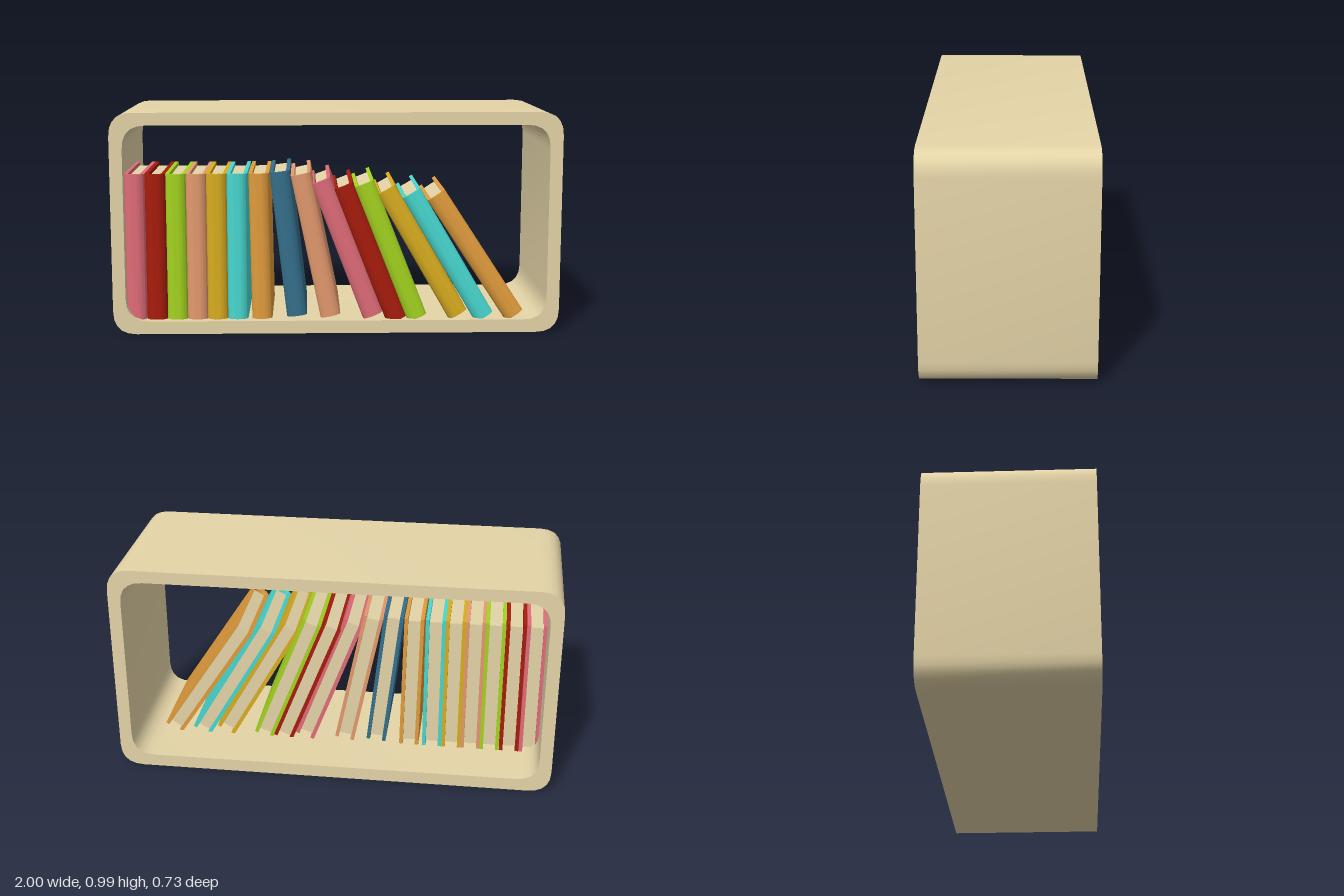
import * as THREE from 'three';
import { toCreasedNormals } from 'three/addons/utils/BufferGeometryUtils.js';

const mat = (name, color) => {
  const m = new THREE.MeshStandardMaterial({ color });
  m.name = name;
  return m;
};

// Rectangle with soft corners traced onto a Shape or Path
function roundedRect(p, x0, y0, x1, y1, r) {
  p.moveTo(x0 + r, y0);
  p.lineTo(x1 - r, y0);
  p.quadraticCurveTo(x1, y0, x1, y0 + r);
  p.lineTo(x1, y1 - r);
  p.quadraticCurveTo(x1, y1, x1 - r, y1);
  p.lineTo(x0 + r, y1);
  p.quadraticCurveTo(x0, y1, x0, y1 - r);
  p.lineTo(x0, y0 + r);
  p.quadraticCurveTo(x0, y0, x0 + r, y0);
  return p;
}

const WIDTH = 0.091, HEIGHT = 0.658, FRONT = 0.345, BACK = -0.128;
const DEPTH = FRONT - BACK, BOARD = 0.017, BULGE = 0.03, INSET = 0.018;

// Wrap-around cover: two boards joined by a rounded spine facing +z
function makeCoverGeometry() {
  const h = WIDTH / 2, i = h - BOARD, f = DEPTH / 2 - BULGE, b = -DEPTH / 2;
  const s = new THREE.Shape();
  // shape y is -z, so that the extrusion points up after rotation
  s.moveTo(-h, -b);
  s.lineTo(-h, -f);
  s.absellipse(0, -f, h, BULGE, Math.PI, 2 * Math.PI, false);
  s.lineTo(h, -b);
  s.lineTo(i, -b);
  s.lineTo(i, -f);
  s.absellipse(0, -f, i, BULGE - BOARD, 2 * Math.PI, Math.PI, true);
  s.lineTo(-i, -b);
  s.closePath();
  const g = new THREE.ExtrudeGeometry(s, { depth: HEIGHT, bevelEnabled: false, curveSegments: 8 });
  g.translate(0, 0, -HEIGHT / 2).rotateX(-Math.PI / 2);
  return toCreasedNormals(g, 0.75);
}

// Page block, set back from the cover on its three open sides
function makePagesGeometry() {
  const front = DEPTH / 2 - BULGE + 0.004, back = -DEPTH / 2 + INSET;
  const g = new THREE.BoxGeometry(WIDTH - 2 * BOARD, HEIGHT - 2 * INSET, front - back);
  return g.translate(0, 0, (front + back) / 2);
}

export function createModel() {
  const model = new THREE.Group();
  model.name = 'bookshelf';
  const tan = mat('tan', 0xe4d4a7);
  const colours = {
    pink: mat('pink', 0xe06c78),
    red: mat('dark red', 0xa81c0c),
    green: mat('green', 0xa4d420),
    salmon: mat('salmon', 0xe49a6e),
    yellow: mat('mustard', 0xd9ad20),
    teal: mat('teal', 0x48d8d0),
    orange: mat('orange', 0xe09c3c),
    blue: mat('blue', 0x35708c),
  };

  // Open rounded box frame
  const outline = roundedRect(new THREE.Shape(), -1, 0, 1, 0.993, 0.105);
  outline.holes.push(roundedRect(new THREE.Path(), -0.943, 0.058, 0.943, 0.937, 0.105));
  const depth = 0.733;
  const frameGeo = new THREE.ExtrudeGeometry(outline, { depth, bevelEnabled: false, curveSegments: 5 });
  frameGeo.translate(0, 0, -depth / 2);
  const frame = new THREE.Mesh(toCreasedNormals(frameGeo, 0.7), tan);
  frame.name = 'shelfFrame';
  model.add(frame);

  // Books: colour, centre x, centre y, lean in degrees
  const books = [
    ['pink', -0.899, 0.39, 0], ['red', -0.807, 0.39, 0], ['green', -0.715, 0.39, 0],
    ['salmon', -0.625, 0.39, 0], ['yellow', -0.535, 0.39, 0], ['teal', -0.444, 0.39, 0],
    ['orange', -0.341, 0.391, 1], ['blue', -0.216, 0.401, 6.5], ['salmon', -0.094, 0.394, 11.6],
    ['pink', 0.046, 0.379, 20.8], ['red', 0.15, 0.357, 21.5], ['green', 0.243, 0.367, 21.5],
    ['yellow', 0.384, 0.36, 29.8], ['teal', 0.5, 0.346, 30.5], ['orange', 0.624, 0.345, 33.2],
  ];
  const coverGeo = makeCoverGeometry(), pagesGeo = makePagesGeometry();
  books.forEach(([colour, x, y, lean], n) => {
    const book = new THREE.Group();
    const cover = new THREE.Mesh(coverGeo, colours[colour]);
    cover.name = 'bookCover';
    const pages = new THREE.Mesh(pagesGeo, tan);
    pages.name = 'pages';
    book.add(cover, pages);
    book.position.set(x, y, (FRONT + BACK) / 2);
    book.rotation.z = THREE.MathUtils.degToRad(lean);
    book.name = `book${n + 1}`;
    model.add(book);
  });
  return model;
}
